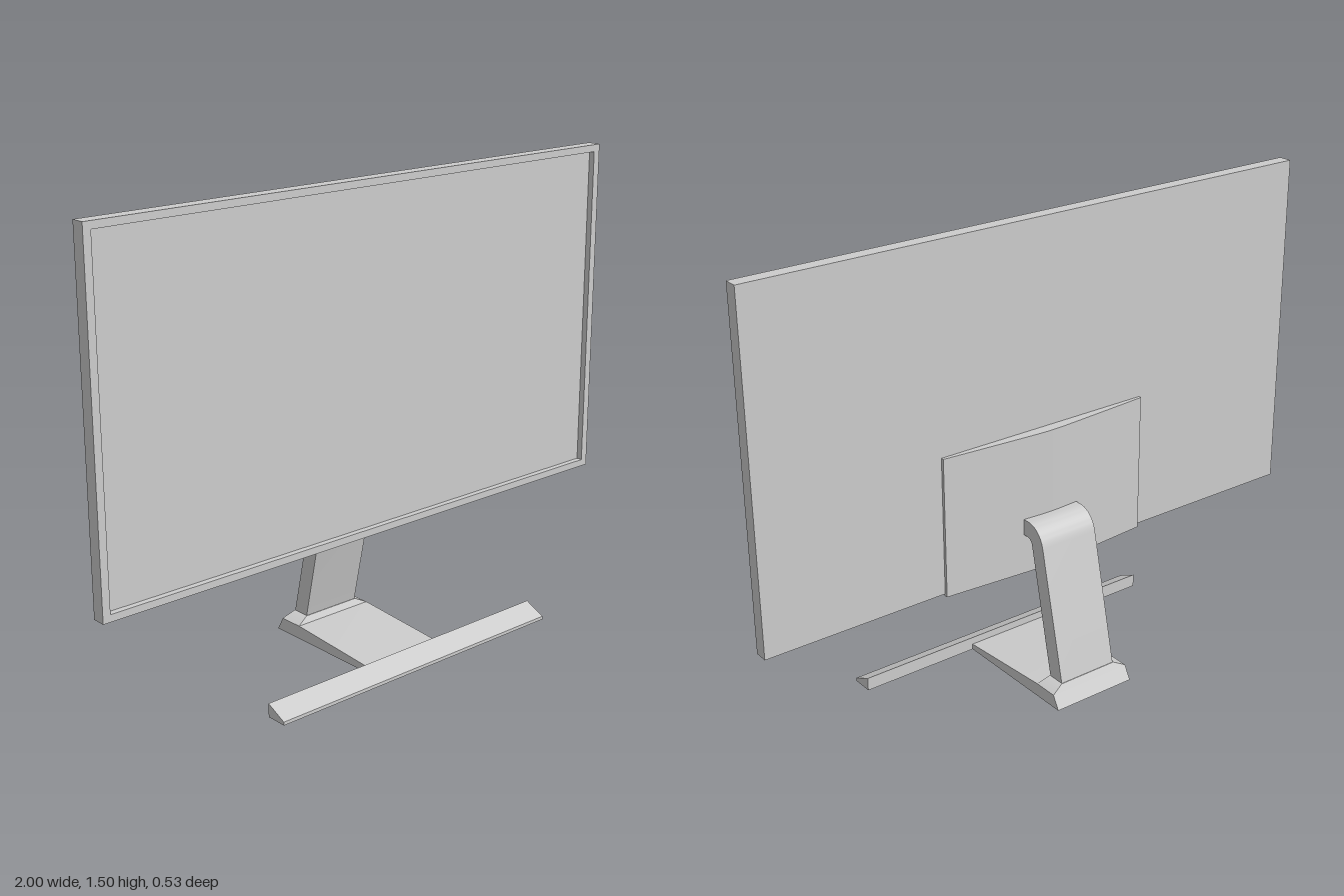
import * as THREE from 'three';
import { toCreasedNormals } from 'three/addons/utils/BufferGeometryUtils.js';

const material = new THREE.MeshStandardMaterial({ color: 0xcccccc });

function part(name, geometry, parent) {
  const mesh = new THREE.Mesh(toCreasedNormals(geometry, 0.5), material);
  mesh.name = name;
  parent.add(mesh);
  return mesh;
}

const polygon = (points) => new THREE.Shape(points.map(([x, y]) => new THREE.Vector2(x, y)));

// Extrude a (z, y) side profile across the given width, centred on x = 0
function sideExtrude(shape, width) {
  return new THREE.ExtrudeGeometry(shape, { depth: width, bevelEnabled: false, curveSegments: 12 })
    .translate(0, 0, -width / 2)
    .rotateY(-Math.PI / 2);
}

function rect(target, x, y0, y1) {
  target.moveTo(-x, y0);
  target.lineTo(x, y0);
  target.lineTo(x, y1);
  target.lineTo(-x, y1);
  target.closePath();
  return target;
}

export function createModel() {
  const model = new THREE.Group();
  model.name = 'monitor';

  const display = new THREE.Group();
  display.name = 'display';
  model.add(display);

  // Bezel around the recessed screen
  const bezel = rect(new THREE.Shape(), 1, 0.38, 1.5);
  bezel.holes.push(rect(new THREE.Path(), 0.975, 0.403, 1.477));
  part('bezel', new THREE.ExtrudeGeometry(bezel, { depth: 0.045, bevelEnabled: false })
    .translate(0, 0, -0.003), display);

  // Screen slab fills the bezel up to the recess
  part('screen', new THREE.BoxGeometry(1.95, 1.074, 0.025).translate(0, 0.94, 0.0095), display);

  // Gently arched rear cover, extruded upwards
  const cover = polygon([[-0.38, -0.004], [0.38, -0.004], [0.38, 0.013]]);
  cover.quadraticCurveTo(0.14, 0.032, 0.07, 0.037);
  cover.quadraticCurveTo(0, 0.043, -0.07, 0.037);
  cover.quadraticCurveTo(-0.14, 0.032, -0.38, 0.013);
  part('rearCover', new THREE.ExtrudeGeometry(cover, { depth: 0.462, bevelEnabled: false })
    .rotateX(-Math.PI / 2).translate(0, 0.373, 0), display);

  const stand = new THREE.Group();
  stand.name = 'stand';
  model.add(stand);

  // Leaning arm with a curved top
  const arm = new THREE.Shape();
  arm.moveTo(-0.03, 0.507);
  arm.lineTo(-0.05, 0.507);
  arm.quadraticCurveTo(-0.07, 0.507, -0.075, 0.487);
  arm.lineTo(-0.17, 0.055);
  arm.lineTo(-0.228, 0.055);
  arm.lineTo(-0.129, 0.495);
  arm.bezierCurveTo(-0.12, 0.535, -0.09, 0.56, -0.055, 0.56);
  arm.lineTo(-0.03, 0.56);
  part('arm', sideExtrude(arm, 0.205), stand);

  // Tapered collar: a box with its top corners drawn in
  const collar = new THREE.BoxGeometry(0.29, 0.02, 0.083);
  const pos = collar.attributes.position;
  for (let i = 0; i < pos.count; i++) {
    if (pos.getY(i) > 0) {
      pos.setX(i, pos.getX(i) * 0.72);
      pos.setZ(i, pos.getZ(i) * 0.74);
    }
  }
  part('collar', collar.translate(0, 0.054, -0.197), stand);

  // Wedge-shaped base plate
  part('basePlate', sideExtrude(polygon([
    [0.197, 0], [0.197, 0.019], [-0.155, 0.044], [-0.238, 0.044], [-0.263, 0],
  ]), 0.29), stand);

  // Long front foot with a sloping top
  part('frontFoot', sideExtrude(polygon([
    [0.265, 0], [0.265, 0.011], [0.195, 0.044], [0.195, 0],
  ]), 1.1), stand);

  return model;
}
